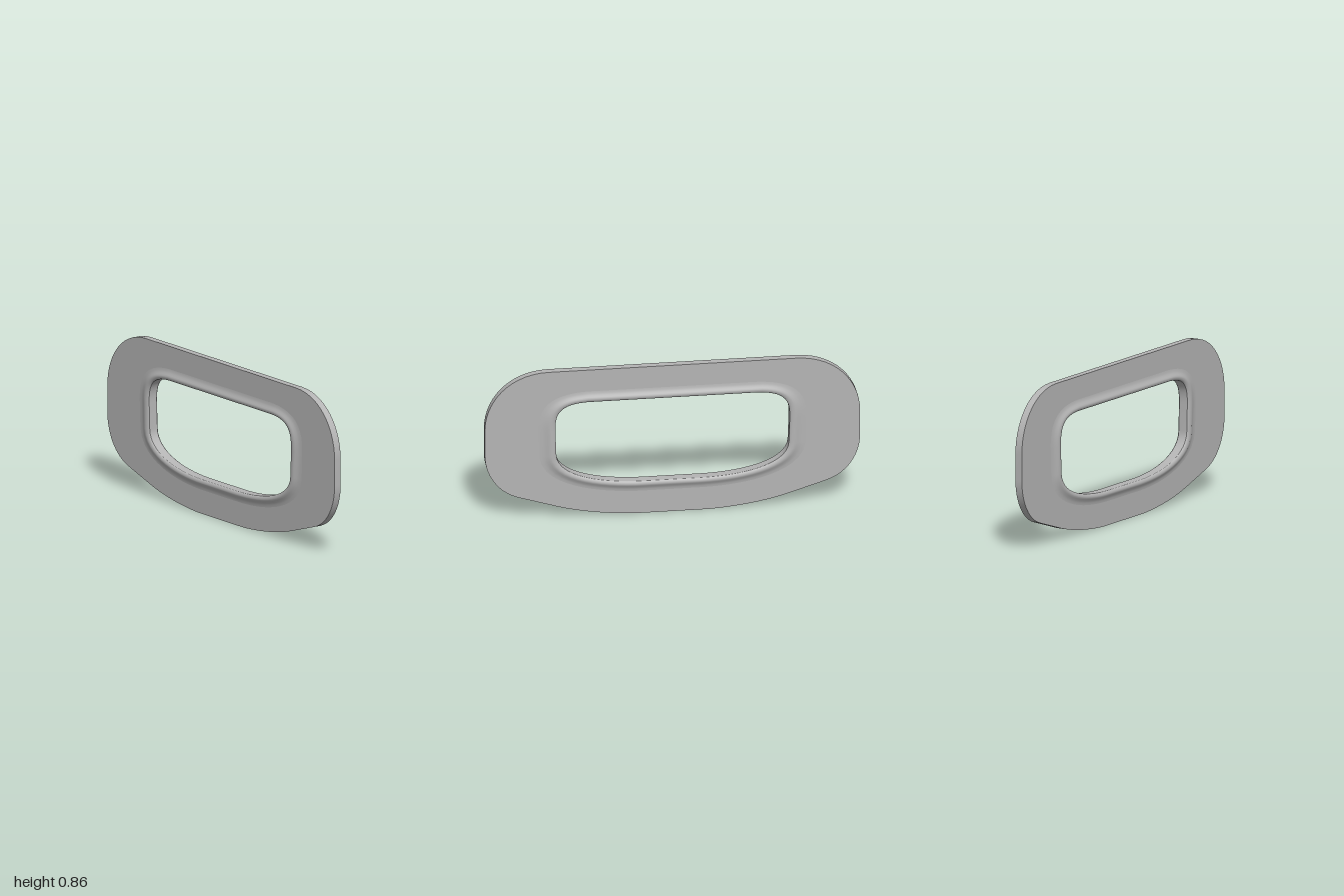
import * as THREE from 'three';

// Closed clockwise loop from a right-half path that runs top centre to bottom centre
function mirrorLoop(path) {
  const half = path.getPoints(14);
  const left = half.slice(1, -1).reverse().map(p => new THREE.Vector2(-p.x, p.y));
  return [...half, ...left];
}

// Offset a loop outwards, a little more at the sides than at top and bottom
function offsetLoop(loop, d) {
  const n = loop.length;
  return loop.map((p, i) => {
    const a = p.clone().sub(loop[(i + n - 1) % n]).normalize();
    const b = loop[(i + 1) % n].clone().sub(p).normalize();
    const t = a.add(b).normalize();
    const k = d * (1 + 0.5 * t.y * t.y);
    return new THREE.Vector2(p.x - t.y * k, p.y + t.x * k);
  });
}

// Smooth closed surface through rings of { loop, z }
function loft(rings) {
  const n = rings[0].loop.length;
  const pos = [], idx = [];
  for (const { loop, z } of rings) for (const p of loop) pos.push(p.x, p.y, z);
  for (let r = 0; r < rings.length - 1; r++) {
    for (let j = 0; j < n; j++) {
      const a = r * n + j, b = r * n + (j + 1) % n;
      idx.push(a, b, a + n, b, b + n, a + n);
    }
  }
  const g = new THREE.BufferGeometry();
  g.setAttribute('position', new THREE.Float32BufferAttribute(pos, 3));
  g.setIndex(idx);
  g.computeVertexNormals();
  return g;
}

export function createModel() {
  const group = new THREE.Group();
  group.name = 'handlePlate';
  const grey = new THREE.MeshStandardMaterial({ color: 0xb4b4b4 });
  grey.name = 'grey';
  const add = (name, geometry) => {
    const mesh = new THREE.Mesh(geometry, grey);
    mesh.name = name;
    group.add(mesh);
  };

  // Outer outline, right half
  const outerPath = new THREE.Path();
  outerPath.moveTo(0, 0.855).lineTo(0.66, 0.855)
    .bezierCurveTo(0.87, 0.855, 1, 0.70, 1, 0.53)
    .lineTo(1, 0.39)
    .bezierCurveTo(1, 0.27, 0.93, 0.165, 0.82, 0.13)
    .lineTo(0.62, 0.067)
    .bezierCurveTo(0.50, 0.03, 0.36, 0.008, 0.2, 0)
    .lineTo(0, 0);

  // Grip opening, right half
  const holePath = new THREE.Path();
  holePath.moveTo(0, 0.67).lineTo(0.45, 0.67)
    .bezierCurveTo(0.58, 0.665, 0.63, 0.63, 0.625, 0.51)
    .lineTo(0.62, 0.37)
    .bezierCurveTo(0.615, 0.235, 0.36, 0.19, 0.15, 0.19)
    .lineTo(0, 0.19);

  const outer = mirrorLoop(outerPath);
  const hole = mirrorLoop(holePath);
  const T = 0.02; // half thickness of the plate

  // Rim section: distance from the opening, height above the mid plane
  const section = [
    [0, 0.025], [0.003, 0.030], [0.009, 0.034], [0.016, 0.035], [0.022, 0.0345],
    [0.029, 0.0305], [0.038, 0.0255], [0.048, 0.0215], [0.06, T],
  ];
  const rim = side => section.map(([d, z]) => ({ loop: offsetLoop(hole, d), z: z * side }));
  add('frontRim', loft(rim(1)));
  add('backRim', loft(rim(-1).reverse()));

  // Walls of the opening and of the outer edge
  add('openingWall', loft([{ loop: hole, z: -0.025 }, { loop: hole, z: 0.025 }]));
  add('outerWall', loft([{ loop: outer, z: T }, { loop: outer, z: -T }]));

  // Flat faces around the rim
  const face = new THREE.Shape(outer);
  face.holes.push(new THREE.Path(offsetLoop(hole, 0.06)));
  add('frontFace', new THREE.ShapeGeometry(face).translate(0, 0, T));
  add('backFace', new THREE.ShapeGeometry(face).rotateY(Math.PI).translate(0, 0, -T));

  return group;
}
